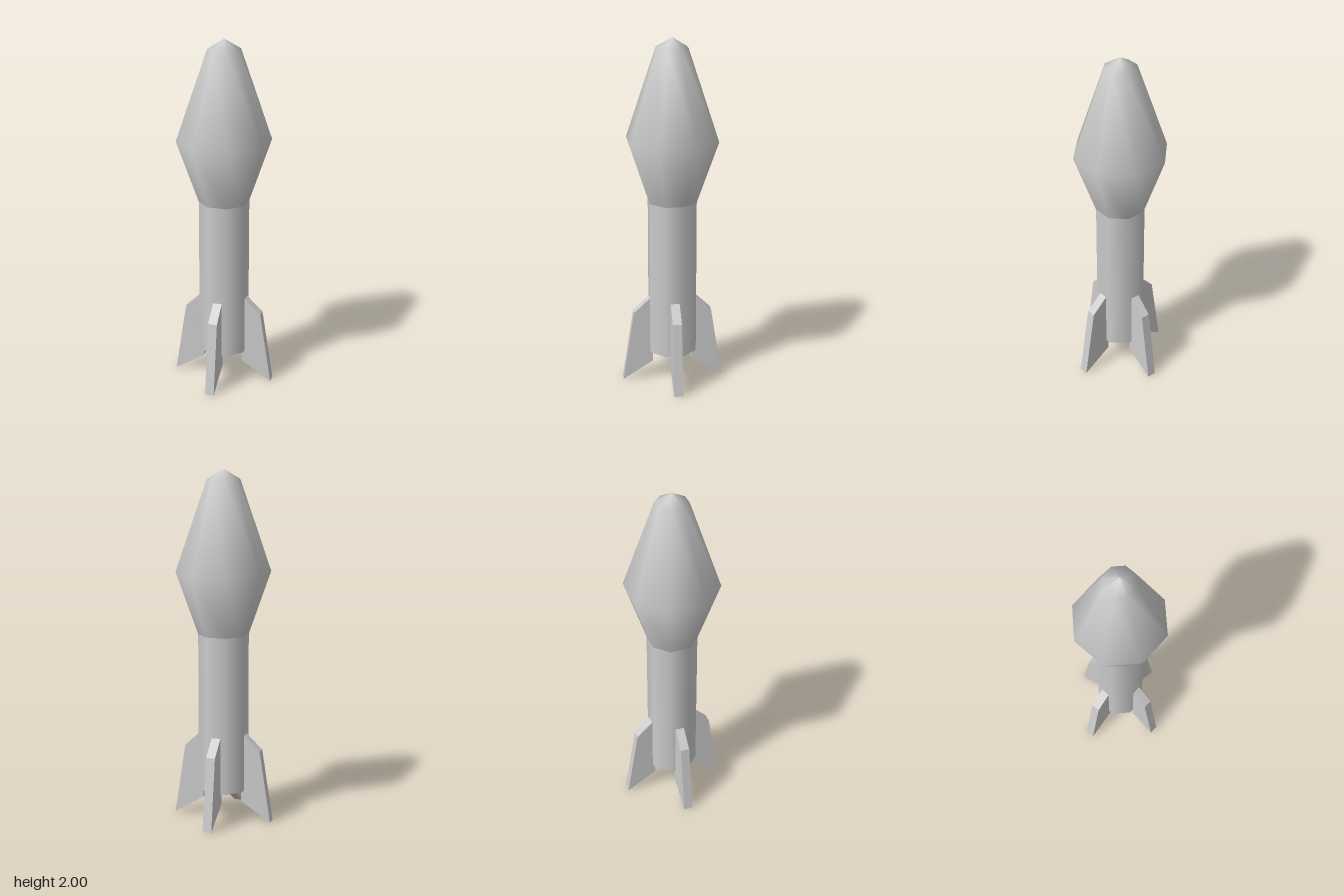
import * as THREE from 'three';

const SIDES = 8;
// Octagons have flats facing the axes: convert flat distance to corner radius
const corner = (flat) => flat / Math.cos(Math.PI / SIDES);

export function createModel() {
  const group = new THREE.Group();
  group.name = 'rocket';
  const material = new THREE.MeshStandardMaterial({ color: 0xcccccc });

  const add = (name, geometry) => {
    const mesh = new THREE.Mesh(geometry, material);
    mesh.name = name;
    group.add(mesh);
    return mesh;
  };

  // Straight octagonal body tube with closed base
  const bottom = 0.175, top = 1.08, bodyRadius = corner(0.132);
  const body = add('body', new THREE.CylinderGeometry(
    bodyRadius, bodyRadius, top - bottom, SIDES, 1, false, Math.PI / SIDES));
  body.position.y = (bottom + top) / 2;

  // Swollen nose with a blunt tip
  const profile = [[0.132, top], [0.247, 1.435], [0.085, 1.945], [0, 2]]
    .map(([flat, y]) => new THREE.Vector2(corner(flat), y));
  add('nose', new THREE.LatheGeometry(profile, SIDES, Math.PI / SIDES));

  // Four swept fins around the base
  const thickness = 0.052;
  const outline = new THREE.Shape([
    [0.115, 0.11], [0.29, 0], [0.225, 0.415], [0.13, 0.505], [0.115, 0.505],
  ].map(([x, y]) => new THREE.Vector2(x, y)));
  const finGeometry = new THREE.ExtrudeGeometry(outline, { depth: thickness, bevelEnabled: false });
  finGeometry.translate(0, 0, -thickness / 2);
  ['leftFin', 'backFin', 'rightFin', 'frontFin'].forEach((name, i) => {
    add(name, finGeometry).rotation.y = i * Math.PI / 2;
  });

  return group;
}
